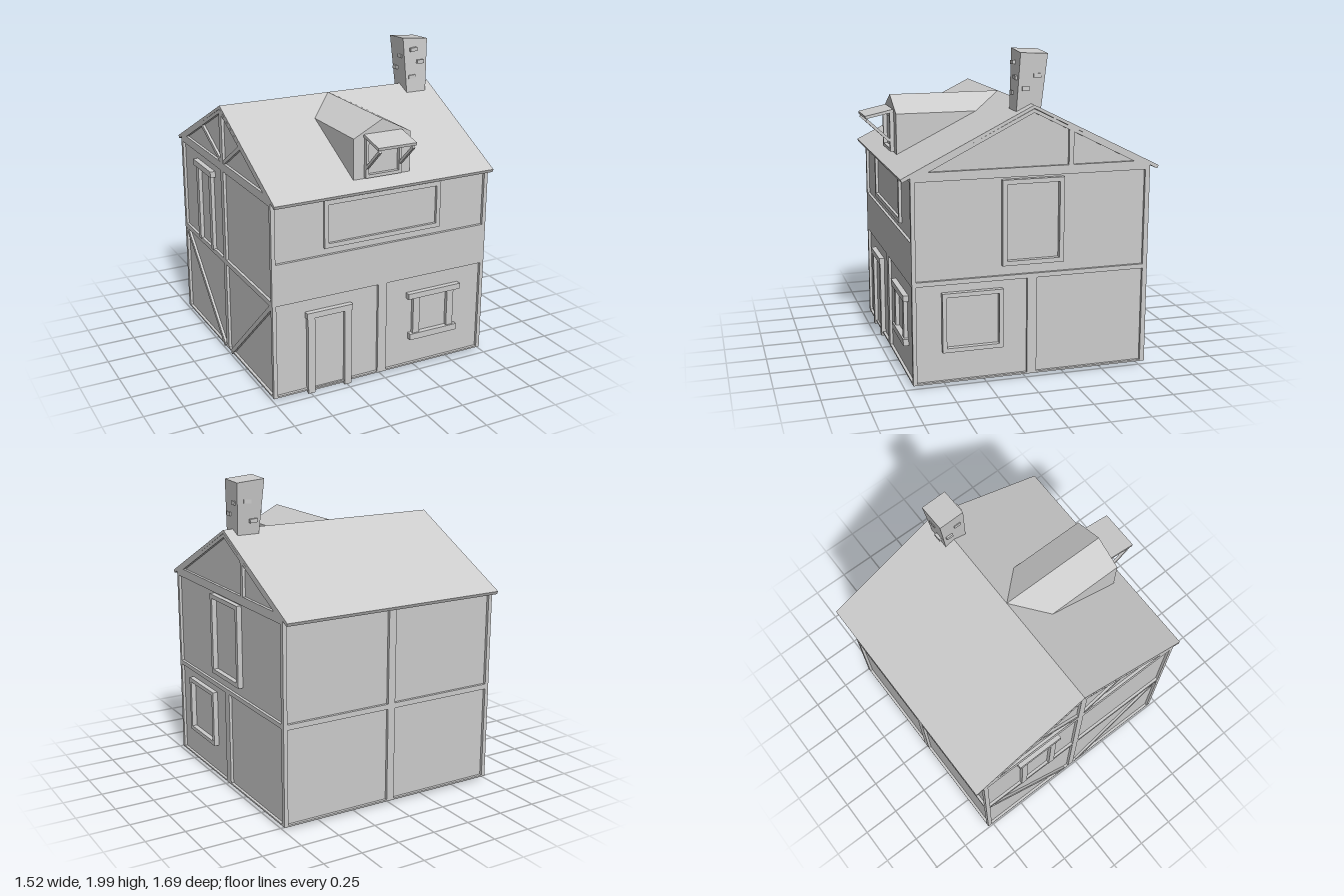
import * as THREE from 'three';

const mat = new THREE.MeshStandardMaterial({ color: 0xcccccc, flatShading: true, side: THREE.DoubleSide });
const DEPTH = 0.018; // how far the plaster panels sit behind the timber frame

function add(parent, name, geo, x = 0, y = 0, z = 0) {
  const m = new THREE.Mesh(geo, mat);
  m.name = name;
  m.position.set(x, y, z);
  parent.add(m);
  return m;
}

// box given by its limits
function box(parent, name, x0, x1, y0, y1, z0, z1) {
  return add(parent, name, new THREE.BoxGeometry(x1 - x0, y1 - y0, z1 - z0),
    (x0 + x1) / 2, (y0 + y1) / 2, (z0 + z1) / 2);
}

const poly = (pts) => new THREE.Shape(pts.map((p) => new THREE.Vector2(p[0], p[1])));
const rect = (x0, x1, y0, y1) => [[x0, y0], [x1, y0], [x1, y1], [x0, y1]];

function extrude(outline, holes, depth) {
  const s = poly(outline);
  s.holes = holes.map(poly);
  return new THREE.ExtrudeGeometry(s, { depth, bevelEnabled: false });
}

// timber frame with openings over a flat plaster sheet, drawn in the wall's own plane
function wall(parent, name, outline, holes, pos, turn) {
  const g = new THREE.Group();
  g.name = name;
  add(g, name + 'Frame', extrude(outline, holes, DEPTH));
  add(g, name + 'Plaster', new THREE.ShapeGeometry(poly(outline)));
  g.position.set(...pos);
  g.rotation.y = turn;
  parent.add(g);
  return g;
}

// rectangular window surround
function surround(parent, name, x0, x1, y0, y1, t, depth) {
  add(parent, name, extrude(rect(x0, x1, y0, y1), [rect(x0 + t, x1 - t, y0 + t, y1 - t)], depth));
}

// slanted timber between two points in a wall's plane
function brace(parent, name, a, b, width, depth) {
  const dx = b[0] - a[0], dy = b[1] - a[1];
  const m = add(parent, name, new THREE.BoxGeometry(Math.hypot(dx, dy), width, depth),
    (a[0] + b[0]) / 2, (a[1] + b[1]) / 2, depth / 2);
  m.rotation.z = Math.atan2(dy, dx);
}

// flat faces from a list of corner loops
function faces(loops) {
  const v = [];
  for (const l of loops) for (let i = 1; i < l.length - 1; i++) v.push(...l[0], ...l[i], ...l[i + 1]);
  const g = new THREE.BufferGeometry();
  g.setAttribute('position', new THREE.Float32BufferAttribute(v, 3));
  g.computeVertexNormals();
  return g;
}

const X = 0.745, FRONT = 0.7, BACK = -0.79, RIDGE = -0.045, SLOPE = 0.497;
const under = (z) => 1.663 - SLOPE * Math.abs(z - RIDGE); // underside of the roof
const inner = (z) => under(z) - 0.023;

function frontWall(house) {
  const g = wall(house, 'frontWall', rect(-X, X, 0.03, 1.285), [
    rect(-0.72, -0.03, 0.04, 0.64), rect(0.03, 0.72, 0.04, 0.64), rect(-0.72, 0.72, 0.905, 1.265),
  ], [0, 0, FRONT - DEPTH], 0);
  surround(g, 'upperWindowFrame', -0.4, 0.4, 0.948, 1.247, 0.028, DEPTH);
  // door
  box(g, 'doorLintel', -0.525, -0.215, 0.52, 0.557, 0, 0.034);
  box(g, 'doorLeaf', -0.47, -0.265, 0.015, 0.52, 0, 0.006);
  for (const x of [-0.517, -0.267]) box(g, 'doorJamb', x, x + 0.047, 0.012, 0.52, 0, 0.028);
  // window
  box(g, 'windowLintel', 0.18, 0.56, 0.498, 0.535, 0, 0.034);
  box(g, 'windowSill', 0.198, 0.543, 0.212, 0.253, 0, 0.034);
  for (const x of [0.222, 0.472]) box(g, 'windowJamb', x, x + 0.047, 0.253, 0.498, 0, 0.024);
}

function backWall(house) {
  const holes = [];
  for (const [y0, y1] of [[0.04, 0.635], [0.668, 1.265]]) {
    holes.push(rect(-0.72, -0.025, y0, y1), rect(0.025, 0.72, y0, y1));
  }
  wall(house, 'backWall', rect(-X, X, 0.03, 1.285), holes, [0, 0, BACK + DEPTH], Math.PI);
}

// side outline: s maps z onto the wall's horizontal axis
const sideOutline = (s) => [[BACK, 0.03], [FRONT, 0.03], [FRONT, under(FRONT)], [RIDGE, under(RIDGE)], [BACK, under(BACK)]]
  .map(([z, y]) => [s * z, y]);

function rightWall(house) {
  const flip = (pts) => pts.map(([z, y]) => [-z, y]);
  const g = wall(house, 'rightWall', sideOutline(-1), [
    flip(rect(-0.01, 0.675, 0.04, 0.64)), flip(rect(-0.76, -0.07, 0.04, 0.64)),
    flip(rect(-0.76, 0.675, 0.668, 1.265)),
    flip([[-0.265, 1.32], [0.595, 1.32], [RIDGE, inner(RIDGE)], [-0.265, inner(-0.265)]]),
    flip([[-0.295, 1.32], [-0.295, inner(-0.295)], [-0.685, 1.32]]),
  ], [X - DEPTH, 0, 0], Math.PI / 2);
  surround(g, 'upperSideWindowFrame', -0.15, 0.235, 0.73, 1.252, 0.028, 0.032);
  surround(g, 'lowerSideWindowFrame', -0.52, -0.143, 0.223, 0.59, 0.026, 0.032);
}

function leftWall(house) {
  const c = RIDGE, w = 0.022;
  const holes = [
    [[c + w, 1.32], [0.595, 1.32], [c + w, inner(c + w)]],
    [[c - w, 1.32], [c - w, inner(c - w)], [-0.685, 1.32]],
  ];
  for (const [y0, y1] of [[0.04, 0.635], [0.668, 1.265]]) {
    holes.push(rect(-0.76, c - w, y0, y1), rect(c + w, 0.675, y0, y1));
  }
  const g = wall(house, 'leftWall', sideOutline(1), holes, [-X + DEPTH, 0, 0], -Math.PI / 2);
  // braces meeting at the foot of the middle post
  brace(g, 'lowerBrace', [-0.76, 0.635], [-0.1, 0.022], 0.03, 0.016);
  brace(g, 'lowerBrace', [0.675, 0.635], [0.01, 0.022], 0.03, 0.016);
  brace(g, 'gableBrace', [-0.07, 1.325], [-0.38, 1.475], 0.025, 0.016);
  brace(g, 'gableBrace', [-0.02, 1.325], [0.25, 1.495], 0.025, 0.016);
  // window
  box(g, 'leftWindowLintel', -0.525, -0.208, 1.17, 1.21, 0, 0.034);
  for (const z of [-0.5, -0.275]) box(g, 'leftWindowJamb', z, z + 0.042, 0.66, 1.17, 0, 0.024);
}

function roof(house) {
  const t = 0.02;
  const top = [[0.757, 1.287], [RIDGE, 1.685], [-0.847, 1.287]];
  const low = top.map(([z, y], i) => [i === 1 ? z : z * 0.988, y - t]).reverse();
  const geo = extrude([...top, ...low].map(([z, y]) => [-z, y]), [], 2 * X);
  add(house, 'roof', geo, -X).rotation.y = Math.PI / 2;
}

function dormer(house) {
  const g = new THREE.Group();
  g.name = 'dormer';
  house.add(g);
  const z = 0.665, w = 0.193, e = 1.585, r = 1.685, b = 1.33, zb = 0.156;
  const loops = [[[-w, b, z], [w, b, z], [w, e, z], [0, r, z], [-w, e, z]]];
  for (const s of [1, -1]) {
    const side = [[s * w, b, z], [s * w, e, zb], [s * w, e, z]];
    const slope = [[0, r, z], [s * w, e, z], [s * w, e, zb], [0, r, RIDGE]];
    loops.push(s > 0 ? side : side.reverse(), s > 0 ? slope : slope.reverse());
  }
  add(g, 'dormerShell', faces(loops));
  // window surround and propped shutter
  for (const s of [-1, 1]) box(g, 'dormerJamb', s * 0.112 - 0.009, s * 0.112 + 0.009, 1.34, 1.58, z, 0.69);
  box(g, 'dormerSill', -0.12, 0.12, 1.34, 1.36, z, 0.69);
  box(g, 'dormerHead', -0.12, 0.12, 1.56, 1.585, z, 0.69);
  const shutter = box(g, 'shutter', -0.128, 0.128, 1.57, 1.588, z, 0.845);
  shutter.rotation.x = 0.21;
  for (const s of [-1, 1]) {
    const strut = add(g, 'shutterStrut', new THREE.BoxGeometry(0.016, 0.018, 0.2), s * 0.112, 1.475, 0.762);
    strut.rotation.x = -0.75;
  }
}

function chimney(house) {
  const g = new THREE.Group();
  g.name = 'chimney';
  house.add(g);
  // crooked stack that widens upward
  const geo = new THREE.BoxGeometry(1, 1, 1);
  const p = geo.attributes.position;
  for (let i = 0; i < p.count; i++) {
    const right = p.getX(i) > 0, up = p.getY(i) > 0, front = p.getZ(i) > 0;
    if (up) p.setXYZ(i, right ? 0.692 : 0.51, (right ? 1.985 : 2) - (front ? 0 : 0.008), front ? 0.025 : -0.142);
    else p.setXYZ(i, right ? 0.677 : 0.537, front ? 1.63 : 1.615, front ? 0.045 : -0.103);
  }
  add(g, 'chimneyStack', geo);
  // loose bricks standing proud of each face
  const brick = (x, y, z, along, tilt) => {
    const m = add(g, 'brick', new THREE.BoxGeometry(along ? 0.05 : 0.022, 0.024, along ? 0.022 : 0.045), x, y, z);
    m.rotation.z = tilt;
  };
  for (const [x, y, t] of [[0.583, 1.922, 0.08], [0.635, 1.838, -0.06], [0.575, 1.742, 0.05]]) brick(x, y, 0.036, true, t);
  for (const [x, y, t] of [[0.62, 1.86, 0.05], [0.58, 1.74, -0.06]]) brick(x, y, -0.123, true, t);
  for (const [y, z] of [[1.85, -0.08], [1.775, -0.01]]) brick(0.683, y, z, false, 0.05);
  for (const [y, z] of [[1.875, -0.02], [1.79, -0.08]]) brick(0.523, y, z, false, -0.05);
}

export function createModel() {
  const house = new THREE.Group();
  house.name = 'house';
  for (const build of [frontWall, backWall, rightWall, leftWall, roof, dormer, chimney]) build(house);
  return house;
}
